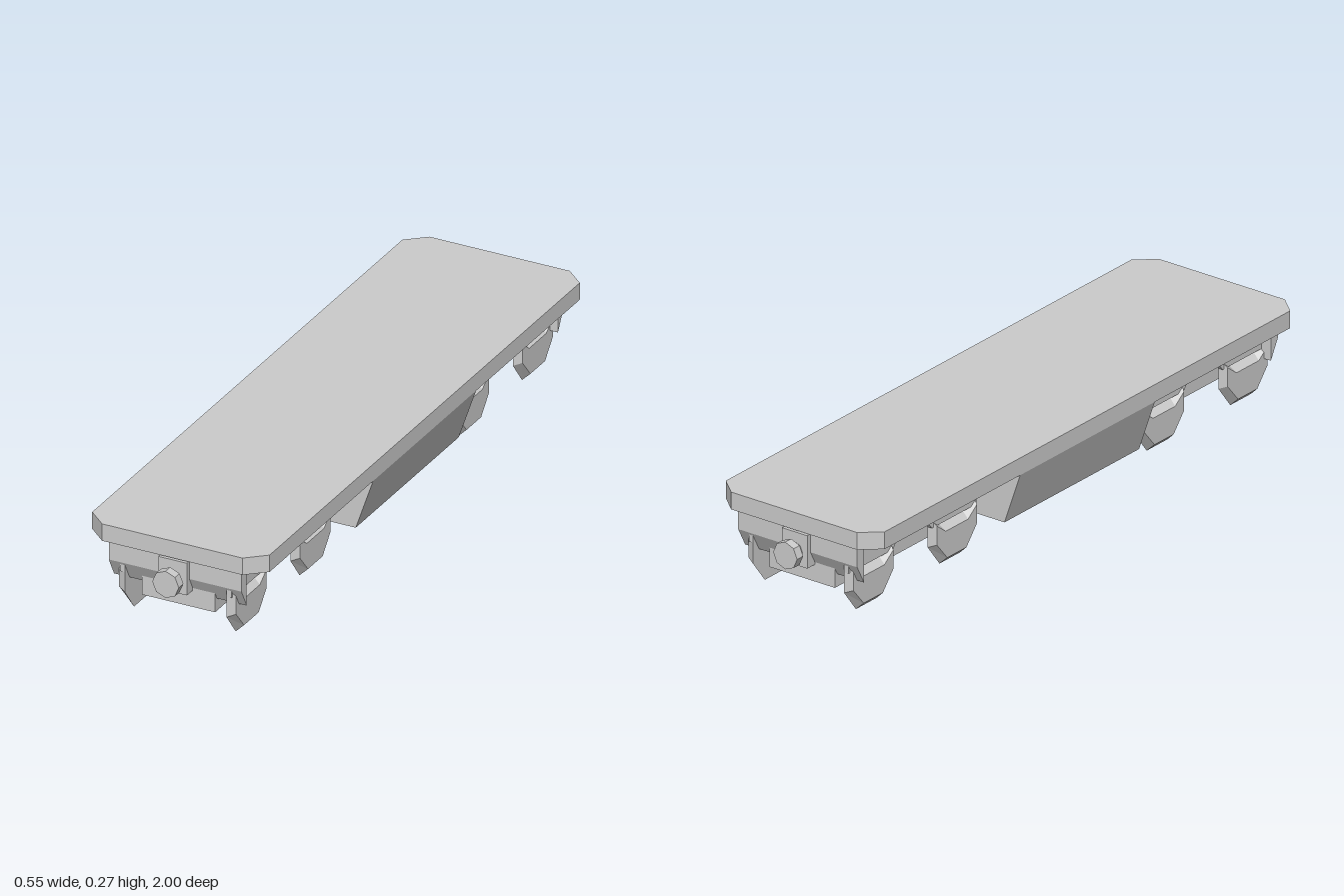
import * as THREE from 'three';

const material = new THREE.MeshStandardMaterial({ color: 0xcccccc, flatShading: true, side: THREE.DoubleSide });

function add(parent, name, geometry) {
  const mesh = new THREE.Mesh(geometry, material);
  mesh.name = name;
  parent.add(mesh);
  return mesh;
}

function box(parent, name, x0, x1, y0, y1, z0, z1) {
  const g = new THREE.BoxGeometry(x1 - x0, y1 - y0, z1 - z0);
  g.translate((x0 + x1) / 2, (y0 + y1) / 2, (z0 + z1) / 2);
  return add(parent, name, g);
}

const outline = (points) => new THREE.Shape(points.map(([x, y]) => new THREE.Vector2(x, y)));

const extrude = (points, depth) =>
  new THREE.ExtrudeGeometry(outline(points), { depth, bevelEnabled: false });

// Extrudes a (z, y) profile along x, starting at x0
function sideExtrude(points, x0, depth) {
  const g = extrude(points.map(([z, y]) => [-z, y]), depth);
  g.rotateY(Math.PI / 2);
  g.translate(x0, 0, 0);
  return g;
}

// Solid between two matching (z, y) outlines at different x
function loft(inner, outer, x0, x1) {
  const n = inner.length;
  const pos = [];
  const index = [];
  inner.forEach(([z, y]) => pos.push(x0, y, z));
  outer.forEach(([z, y]) => pos.push(x1, y, z));
  for (let i = 0; i < n; i++) {
    const j = (i + 1) % n;
    index.push(i, i + n, j, j, i + n, j + n);
  }
  for (const [ring, offset] of [[inner, 0], [outer, n]]) {
    const pts = ring.map(([z, y]) => new THREE.Vector2(z, y));
    for (const [a, b, c] of THREE.ShapeUtils.triangulateShape(pts, [])) {
      if (offset) index.push(a + n, c + n, b + n);
      else index.push(a, b, c);
    }
  }
  const g = new THREE.BufferGeometry();
  g.setAttribute('position', new THREE.Float32BufferAttribute(pos, 3));
  g.setIndex(index);
  const flat = g.toNonIndexed();
  flat.computeVertexNormals();
  return flat;
}

// One side frame: a bar with dips above the axles, and two hanging axle guards
function sideFrame(side) {
  const frame = new THREE.Group();
  frame.name = side > 0 ? 'leftSideFrame' : 'rightSideFrame';
  const half = [[0, 0.22], [0.13, 0.22], [0.155, 0.188], [0.215, 0.188], [0.235, 0.215],
    [0.265, 0.215], [0.287, 0.155], [0.287, 0.13], [0.087, 0.13], [0.06, 0.165], [0, 0.165]];
  const mirrored = half.slice(1, -1).reverse().map(([z, y]) => [-z, y]);
  const bar = add(frame, 'frameBar', sideExtrude([...half, ...mirrored], 0.157, 0.015));
  bar.position.z = 0.6525;

  const guardInner = [[-0.1, 0.16], [-0.1, 0.068], [-0.047, 0], [0.047, 0], [0.1, 0.068], [0.1, 0.16],
    [0.055, 0.125], [-0.055, 0.125]];
  const guardOuter = [[-0.09, 0.135], [-0.09, 0.078], [-0.043, 0.023], [0.043, 0.023], [0.09, 0.078], [0.09, 0.135],
    [0.05, 0.105], [-0.05, 0.105]];
  for (const z of [0.465, 0.84]) {
    const guard = add(frame, 'axleGuard', loft(guardInner, guardOuter, 0.157, 0.181));
    guard.position.z = z;
  }
  if (side < 0) {
    // Mirror the vertices so the face order stays correct
    frame.children.forEach((m) => {
      m.geometry.scale(-1, 1, 1);
      const p = m.geometry.attributes.position;
      for (let i = 0; i < p.count; i += 3) {
        const a = [p.getX(i), p.getY(i), p.getZ(i)];
        p.setXYZ(i, p.getX(i + 1), p.getY(i + 1), p.getZ(i + 1));
        p.setXYZ(i + 1, ...a);
      }
      m.geometry.computeVertexNormals();
    });
  }
  return frame;
}

// Cross beam, coupler and side frames at one end
function wagonEnd(name) {
  const end = new THREE.Group();
  end.name = name;
  add(end, 'endBeam', sideExtrude([[0.913, 0.215], [0.913, 0.103], [0.944, 0.16], [0.944, 0.215]], -0.205, 0.41));
  box(end, 'couplerBlock', -0.044, 0.044, 0.116, 0.215, 0.9, 0.958);
  for (const [part, r, z0, z1] of [['couplerNeck', 0.028, 0.95, 0.978], ['couplerHead', 0.041, 0.973, 1]]) {
    const g = new THREE.CylinderGeometry(r, r, z1 - z0, 8);
    g.rotateX(Math.PI / 2);
    g.translate(0, 0.158, (z0 + z1) / 2);
    add(end, part, g);
  }
  end.add(sideFrame(1), sideFrame(-1));
  return end;
}

export function createModel() {
  const model = new THREE.Group();
  model.name = 'flatWagon';

  // Deck with clipped corners
  const deck = extrude([[-0.274, -0.91], [-0.217, -0.96], [0.217, -0.96], [0.274, -0.91],
    [0.274, 0.91], [0.217, 0.96], [-0.217, 0.96], [-0.274, 0.91]], 0.052);
  deck.rotateX(-Math.PI / 2);
  deck.translate(0, 0.222, 0);
  add(model, 'deck', deck);

  // Tapered middle body and the narrow spine running to both ends
  const belly = extrude([[-0.22, 0.065], [0.22, 0.065], [0.274, 0.222], [-0.274, 0.222]], 0.604);
  belly.translate(0, 0, -0.302);
  add(model, 'belly', belly);
  for (const [z0, z1] of [[0.302, 0.924], [-0.924, -0.302]]) {
    box(model, 'spine', -0.113, 0.113, 0.065, 0.222, z0, z1);
  }

  const front = wagonEnd('frontEnd');
  const back = wagonEnd('backEnd');
  back.rotation.y = Math.PI;
  model.add(front, back);
  return model;
}
